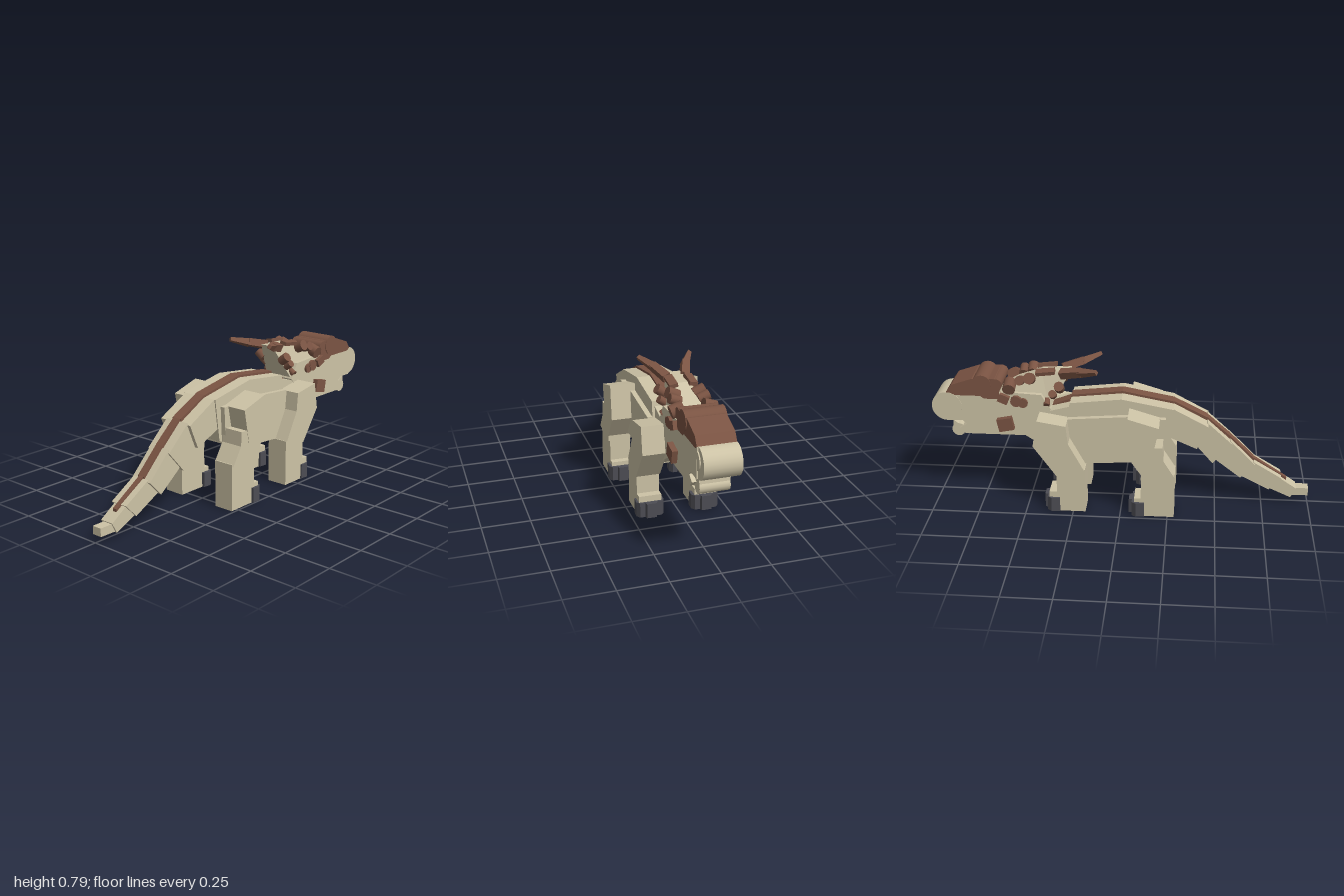
import * as THREE from 'three';

const mat = (name, color) => Object.assign(new THREE.MeshStandardMaterial({ color }), { name });

export function createModel() {
  const hide = mat('tan hide', 0xcdc3a6);
  const horn = mat('brown horn', 0x7b5443);
  const claw = mat('dark grey claw', 0x4d4d54);
  const model = new THREE.Group();
  model.name = 'hornedDinosaur';

  const add = (name, geometry, material) => {
    const mesh = new THREE.Mesh(geometry, material);
    mesh.name = name;
    model.add(mesh);
    return mesh;
  };

  // side outline of [z, y] points, extruded from x0 to x1
  const slab = (name, pts, x0, x1, material, rule) => {
    const shape = new THREE.Shape(pts.map(([z, y]) => new THREE.Vector2(z, y)));
    const g = new THREE.ExtrudeGeometry(shape, { depth: x1 - x0, bevelEnabled: false });
    g.rotateY(-Math.PI / 2).translate(x1, 0, 0);
    if (rule) {
      const p = g.attributes.position;
      for (let i = 0; i < p.count; i++) p.setX(i, rule(p.getX(i), p.getY(i), p.getZ(i)));
      g.computeVertexNormals();
    }
    return add(name, g, material);
  };

  // cylinder lying across the body
  const roll = (name, r, x0, x1, y, z, material, sides = 24) => {
    const g = new THREE.CylinderGeometry(r, r, x1 - x0, sides).rotateZ(Math.PI / 2);
    g.translate((x0 + x1) / 2, y, z);
    return add(name, g, material);
  };

  // tail, tip to base
  [
    [[[1, .085], [.9, .085], [.9, .04], [1, .042]], -.012, .042],
    [[[.933, .09], [.82, .165], [.783, .09], [.906, .035]], -.028, .05],
    [[[.85, .155], [.7, .245], [.63, .165], [.785, .085]], -.04, .06],
    [[[.705, .235], [.57, .37], [.48, .27], [.63, .155]], -.047, .077],
    [[[.58, .355], [.445, .478], [.385, .35], [.48, .24]], -.056, .088],
    [[[.45, .47], [.27, .565], [.235, .41], [.395, .34]], -.093, .108],
  ].forEach(([pts, a, b], i) => slab('tailSegment' + (6 - i), pts, a, b, hide));

  // trunk
  slab('hips', [[.27, .565], [0, .615], [-.02, .4], [.1, .27], [.24, .34]], -.1, .114, hide);
  slab('belly', [[.23, .52], [.04, .53], [-.28, .505], [-.3, .25], [-.19, .25], [.1, .27], [.22, .32]], -.128, .14, hide);
  slab('shoulders', [[0, .615], [-.27, .585], [-.29, .45], [0, .45]], -.1, .114, hide);
  slab('neck', [[-.19, .545], [-.27, .56], [-.42, .52], [-.58, .5], [-.51, .385], [-.34, .275], [-.19, .25]], -.088, .1, hide);

  // stripe along the back, made of plates that narrow toward the tail
  const ridge = [
    [.88, .13, .008], [.84, .155, .012], [.7, .245, .013], [.57, .372, .021], [.445, .48, .022],
    [.27, .567, .028], [0, .617, .031], [-.27, .587, .031], [-.275, .565, .031], [-.38, .525, .031],
  ];
  for (let i = 0; i < ridge.length - 1; i++) {
    const [z0, y0] = ridge[i], [z1, y1, w] = ridge[i + 1];
    slab('backStripe', [[z0, y0 - .01], [z0, y0 + .01], [z1, y1 + .01], [z1, y1 - .01]], .011 - w, .011 + w, horn);
  }

  // head, with a frill that narrows upward
  slab('skull', [[-.37, .54], [-.42, .62], [-.6, .63], [-.92, .62], [-.92, .46], [-.84, .46], [-.82, .44],
    [-.86, .415], [-.83, .385], [-.5, .385]], -.088, .102, hide);
  slab('frill', [[-.38, .54], [-.27, .733], [-.42, .73], [-.55, .675], [-.66, .62], [-.66, .55]], -.08, .092, hide,
    (x, y) => .006 + (x - .006) * (1 - .55 * THREE.MathUtils.clamp((y - .62) / .11, 0, 1)));
  roll('beak', .08, -.09, .095, .54, -.92, hide);
  roll('lowerJawTip', .036, -.07, .08, .398, -.87, hide, 16);
  slab('jawLip', [[-.84, .41], [-.895, .452], [-.9, .4]], -.07, .08, hide);
  slab('noseBoss', [[-.64, .615], [-.63, .68], [-.66, .705], [-.71, .7], [-.78, .7], [-.89, .662],
    [-.92, .62], [-.9, .605], [-.74, .605], [-.72, .59], [-.64, .59]], -.089, .103, horn);
  roll('bossRoll', .052, -.094, .108, .67, -.73, horn);
  roll('bossRearRoll', .033, -.092, .106, .67, -.655, horn);

  // tapered four-sided horn piece from a to b
  const spike = (name, a, b, r0, r1, sides = 4) => {
    const A = new THREE.Vector3(...a), B = new THREE.Vector3(...b);
    let g = new THREE.CylinderGeometry(r1, r0, A.distanceTo(B), sides);
    if (sides === 4) {
      g.rotateY(Math.PI / 4);
      g = g.toNonIndexed();
      g.computeVertexNormals();
    }
    const mesh = add(name, g, horn);
    mesh.position.copy(A).add(B).multiplyScalar(.5);
    mesh.quaternion.setFromUnitVectors(new THREE.Vector3(0, 1, 0), B.clone().sub(A).normalize());
  };

  for (const s of [-1, 1]) {
    const X = x => .006 + s * x;
    const side = s > 0 ? 'left' : 'right';

    // long frill horns
    spike(side + 'HornBase', [X(.045), .722, -.32], [X(.085), .75, -.21], .03, .027);
    spike(side + 'HornTip', [X(.08), .745, -.22], [X(.135), .772, -.125], .027, .014);
    const plate = add(side + 'FrillPlate', new THREE.BoxGeometry(.042, .02, .1), horn);
    plate.position.set(X(.05), .733, -.4);
    plate.rotation.set(-.12, 0, -s * .2);

    // stubby knobs around the frill: [y, z, radius, inner x, outer x, rise]
    [
      [.7, -.48, .03, .04, .095, .012], [.69, -.53, .025, .045, .1, .01], [.662, -.585, .034, .05, .112, -.01],
      [.66, -.325, .026, .06, .1, .015], [.62, -.36, .021, .065, .1, .012], [.575, -.392, .017, .065, .098, -.01],
      [.575, -.515, .026, .075, .108, 0], [.585, -.55, .03, .075, .112, 0],
    ].forEach(([y, z, r, x0, x1, rise]) =>
      spike(side + 'FrillKnob', [X(x0), y - rise, z], [X(x1), y + rise, z], r, r, 12));

    // brow and cheek blocks
    const brow = add(side + 'Brow', new THREE.BoxGeometry(.045, .045, .055), horn);
    brow.position.set(X(.095), .598, -.615);
    brow.rotation.x = .4;
    const cheek = add(side + 'CheekHorn', new THREE.BoxGeometry(.06, .07, .08), horn);
    cheek.position.set(X(.095), .455, -.61);
    cheek.rotation.x = -.2;
    roll(side + 'BeakDisc', .05, X(.085) - .01, X(.085) + .01, .55, -.905, hide);

    // legs
    const leg = (name, pts, a, b) => slab(side + name, pts, Math.min(X(a), X(b)), Math.max(X(a), X(b)), hide);
    leg('HindThigh', [[.2, .52], [.04, .568], [.018, .38], [.165, .34]], .1, .242);
    leg('HindKnee', [[.285, .24], [.225, .335], [.22, .41], [.04, .4], [.02, .38], [.11, .25], [.11, .22]], .115, .24);
    leg('HindShin', [[.285, 0], [.285, .25], [.11, .25], [.11, .105], [.075, .105], [.075, .075], [.12, .075], [.12, 0]], .118, .23);
    leg('FrontUpperLeg', [[-.28, .5], [-.43, .525], [-.455, .38], [-.335, .21], [-.19, .25], [-.27, .4]], .085, .212);
    leg('FrontShin', [[-.185, 0], [-.185, .25], [-.335, .25], [-.335, .115], [-.375, .115], [-.375, .08], [-.33, .08], [-.33, 0]], .09, .208);

    // three-toed claws, drawn from above
    const toes = [[-.07, 0], [-.073, .045], [-.058, .066], [-.03, .066], [-.026, .083], [.026, .083],
      [.03, .066], [.058, .066], [.073, .045], [.07, 0], [.035, 0], [.025, .022], [-.025, .022], [-.035, 0]];
    for (const [name, x, z] of [['HindClaws', .172, .128], ['FrontClaws', .147, -.32]]) {
      const g = new THREE.ExtrudeGeometry(new THREE.Shape(toes.map(p => new THREE.Vector2(...p))),
        { depth: .08, bevelEnabled: false }).rotateX(-Math.PI / 2);
      add(side + name, g, claw).position.set(X(x), .002, z);
    }
  }
  return model;
}
